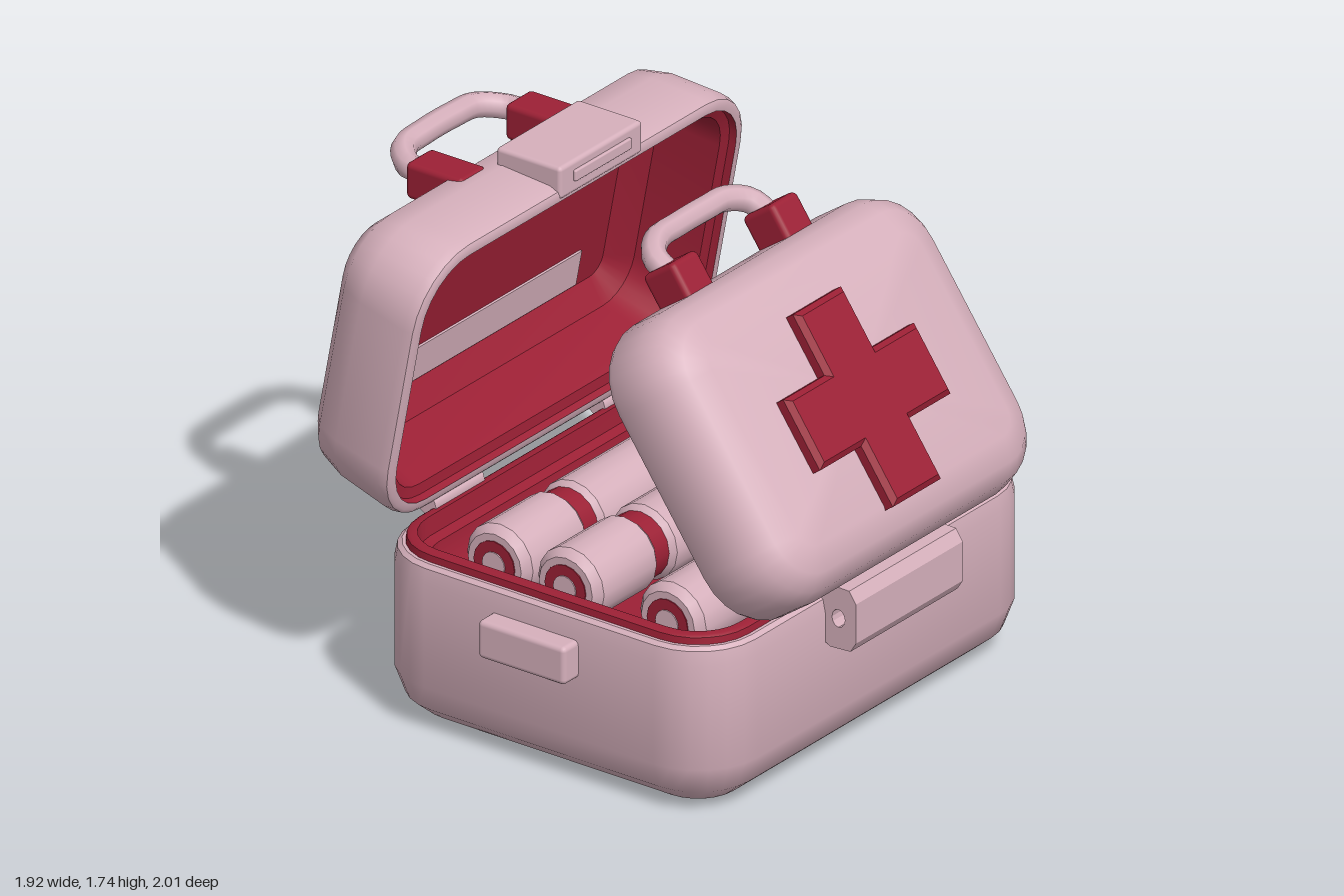
import * as THREE from 'three';
import { toCreasedNormals } from 'three/addons/utils/BufferGeometryUtils.js';
import { RoundedBoxGeometry } from 'three/addons/geometries/RoundedBoxGeometry.js';

const mat = (name, color) => {
  const m = new THREE.MeshStandardMaterial({ color });
  m.name = name;
  return m;
};

// Rounded-rectangle rings swept along y. Each ring is [inset, y].
function loft(hx, hz, radius, rings, capStart, capEnd) {
  const seg = 6, n = 4 * (seg + 1), pos = [], idx = [];
  for (const [inset, y] of rings) {
    const r = Math.max(radius - inset, 0.05);
    const cx = hx - inset - r, cz = hz - inset - r;
    for (let q = 0; q < 4; q++) for (let k = 0; k <= seg; k++) {
      const a = (q + k / seg) * Math.PI / 2;
      const sx = q === 0 || q === 3 ? 1 : -1, sz = q < 2 ? -1 : 1;
      pos.push(sx * cx + r * Math.cos(a), y, sz * cz - r * Math.sin(a));
    }
  }
  for (let i = 0; i < rings.length - 1; i++) for (let j = 0; j < n; j++) {
    const a = i * n + j, b = i * n + (j + 1) % n;
    idx.push(a, b, b + n, a, b + n, a + n);
  }
  const cap = (ring, flip) => {
    const c = pos.length / 3, s = ring * n;
    pos.push(0, rings[ring][1], 0);
    for (let j = 0; j < n; j++) {
      const a = s + j, b = s + (j + 1) % n;
      flip ? idx.push(c, b, a) : idx.push(c, a, b);
    }
  };
  if (capStart) cap(0, true);
  if (capEnd) cap(rings.length - 1, false);
  const g = new THREE.BufferGeometry();
  g.setAttribute('position', new THREE.Float32BufferAttribute(pos, 3));
  g.setIndex(idx);
  return toCreasedNormals(g, 0.65);
}

export function createModel() {
  const pink = mat('pale pink', 0xd6b0bc);
  const red = mat('deep red', 0x9c2035);
  const model = new THREE.Group();

  const group = (name, parent = model) => {
    const g = new THREE.Group();
    g.name = name;
    parent.add(g);
    return g;
  };
  const add = (parent, name, geo, material, x = 0, y = 0, z = 0) => {
    const m = new THREE.Mesh(geo, material);
    m.name = name;
    m.position.set(x, y, z);
    parent.add(m);
    return m;
  };
  const box = (w, h, d, r = 0.015) => new RoundedBoxGeometry(w, h, d, 2, r);

  // Carrying handle: two red mounts and a bowed grip
  const handle = (parent, cx, mount, grip) => {
    for (const s of [-1, 1]) {
      add(parent, 'handleMount', box(0.14, mount.h, mount.d, 0.02), red, cx + s * 0.265, mount.y, mount.z);
    }
    const half = grip.map(([x, y, z]) => new THREE.Vector3(cx - x, y, z));
    const other = grip.map(([x, y, z]) => new THREE.Vector3(cx + x, y, z)).reverse();
    const curve = new THREE.CatmullRomCurve3([...half, ...other]);
    add(parent, 'handleGrip', new THREE.TubeGeometry(curve, 28, 0.043, 8), pink);
  };

  // Lower box
  const base = group('base');
  base.position.z = 0.12;
  add(base, 'baseShell', loft(0.885, 0.7, 0.24, [
    [0.19, 0], [0.1, 0.02], [0.035, 0.075], [0, 0.17], [0, 0.54], [0.01, 0.59], [0.025, 0.602], [0.06, 0.602],
  ], true, false), pink);
  add(base, 'baseLining', loft(0.885, 0.7, 0.24, [
    [0.035, 0.59], [0.04, 0.625], [0.05, 0.632], [0.075, 0.632], [0.085, 0.57], [0.12, 0.56], [0.135, 0.48], [0.19, 0.42],
  ], false, true), red);
  for (const s of [-1, 1]) {
    add(base, 'sideGrip', box(0.12, 0.135, 0.35, 0.018), pink, s * 0.9, 0.453, -0.015);
    const hinge = add(base, 'hinge', new THREE.CylinderGeometry(0.035, 0.035, 0.26, 10), pink, s * 0.45, 0.635, -0.675);
    hinge.rotation.z = Math.PI / 2;
  }

  // Front clasp: hooked profile extruded across the width
  const clasp = new THREE.Shape([
    [0.8, 0.45], [0.84, 0.43], [0.92, 0.435], [0.942, 0.47], [0.942, 0.61], [0.915, 0.65], [0.84, 0.652], [0.8, 0.62],
  ].map(([z, y]) => new THREE.Vector2(-z, y)));
  clasp.holes.push(new THREE.Path().absellipse(-0.872, 0.54, 0.026, 0.032, 0, Math.PI * 2));
  const claspGeo = new THREE.ExtrudeGeometry(clasp, { depth: 0.57, bevelEnabled: false, curveSegments: 6 });
  claspGeo.rotateY(Math.PI / 2);
  add(model, 'frontClasp', claspGeo, pink, -0.285);

  // Rolled bandages in three rows, each of three rolls on a red core
  const rolls = group('bandageRolls');
  const roll = (len) => {
    const h = len / 2, r = 0.132;
    const g = new THREE.LatheGeometry([
      [0, -h], [r - 0.025, -h], [r, -h + 0.03], [r, h - 0.03], [r - 0.025, h], [0, h],
    ].map(([x, y]) => new THREE.Vector2(x, y)), 16);
    return toCreasedNormals(g.rotateZ(Math.PI / 2), 0.5);
  };
  const disc = (r, len) => new THREE.CylinderGeometry(r, r, len, 16).rotateZ(Math.PI / 2);
  for (const z of [-0.225, 0.06, 0.47]) {
    add(rolls, 'rollCore', disc(0.115, 1.1), red, -0.01, 0.555, z);
    add(rolls, 'roll', roll(0.51), pink, -0.015, 0.555, z);
    add(rolls, 'roll', roll(0.34), pink, -0.49, 0.555, z);
    add(rolls, 'roll', roll(0.36), pink, 0.46, 0.555, z);
    for (const x of [-0.66, 0.64]) {
      add(rolls, 'rollEnd', disc(0.082, 0.008), red, x, 0.555, z);
      add(rolls, 'rollCentre', disc(0.045, 0.016), pink, x, 0.555, z);
    }
  }

  // Open back lid; its local y points out of the opening
  const lid = group('backLid');
  lid.position.set(0, 1.223, -0.818);
  lid.rotation.x = 1.757;
  add(lid, 'lidShell', loft(0.882, 0.515, 0.25, [
    [0.2, 0], [0.11, 0.02], [0.05, 0.07], [0.02, 0.16], [0, 0.35], [0.008, 0.382], [0.02, 0.39], [0.045, 0.39],
  ], true, false), pink);
  add(lid, 'lidLining', loft(0.882, 0.515, 0.25, [
    [0.042, 0.39], [0.05, 0.365], [0.085, 0.355], [0.1, 0.28], [0.115, 0.13], [0.19, 0.06],
  ], false, true), red);
  add(lid, 'liningPanel', new THREE.BoxGeometry(1.1, 0.008, 0.13), pink, 0, 0.064, 0.25);

  // Catch and handle on top of the back lid
  add(model, 'lidCatch', box(0.44, 0.115, 0.26), pink, 0.06, 1.68, -0.468);
  add(model, 'catchPlate', box(0.3, 0.04, 0.02, 0.006), pink, 0.06, 1.685, -0.338);
  handle(group('backHandle'), 0.005, { h: 0.13, d: 0.23, y: 1.615, z: -0.72 },
    [[0.265, 1.63, -0.79], [0.265, 1.63, -0.87], [0.19, 1.645, -0.945], [0.08, 1.65, -0.955]]);

  // Small leaning case; its local y points out of the front face, -z up its height
  const small = group('smallCase');
  small.position.set(-0.02, 1.035, 0.494);
  small.rotation.x = 0.956;
  add(small, 'smallCaseBody', loft(0.72, 0.525, 0.23, [
    [0.055, 0.015], [0.045, 0], [0.015, 0], [0, 0.03], [0, 0.17], [0.025, 0.245], [0.075, 0.295], [0.16, 0.322],
  ], true, true), pink);
  handle(group('smallHandle', small), -0.01, { h: 0.15, d: 0.16, y: 0.095, z: -0.565 },
    [[0.265, 0.08, -0.6], [0.255, 0.04, -0.68], [0.18, 0.015, -0.725], [0.08, 0.01, -0.73]]);

  // Raised cross
  const a = 0.11, b = 0.33;
  const cross = new THREE.Shape([
    [a, -b], [a, -a], [b, -a], [b, a], [a, a], [a, b], [-a, b], [-a, a], [-b, a], [-b, -a], [-a, -a], [-a, -b],
  ].map(([x, y]) => new THREE.Vector2(x, y)));
  const crossGeo = new THREE.ExtrudeGeometry(cross, {
    depth: 0.04, bevelThickness: 0.018, bevelSize: 0.018, bevelSegments: 1,
  });
  crossGeo.rotateX(-Math.PI / 2);
  add(small, 'cross', crossGeo, red, -0.02, 0.315, 0.03);

  return model;
}
